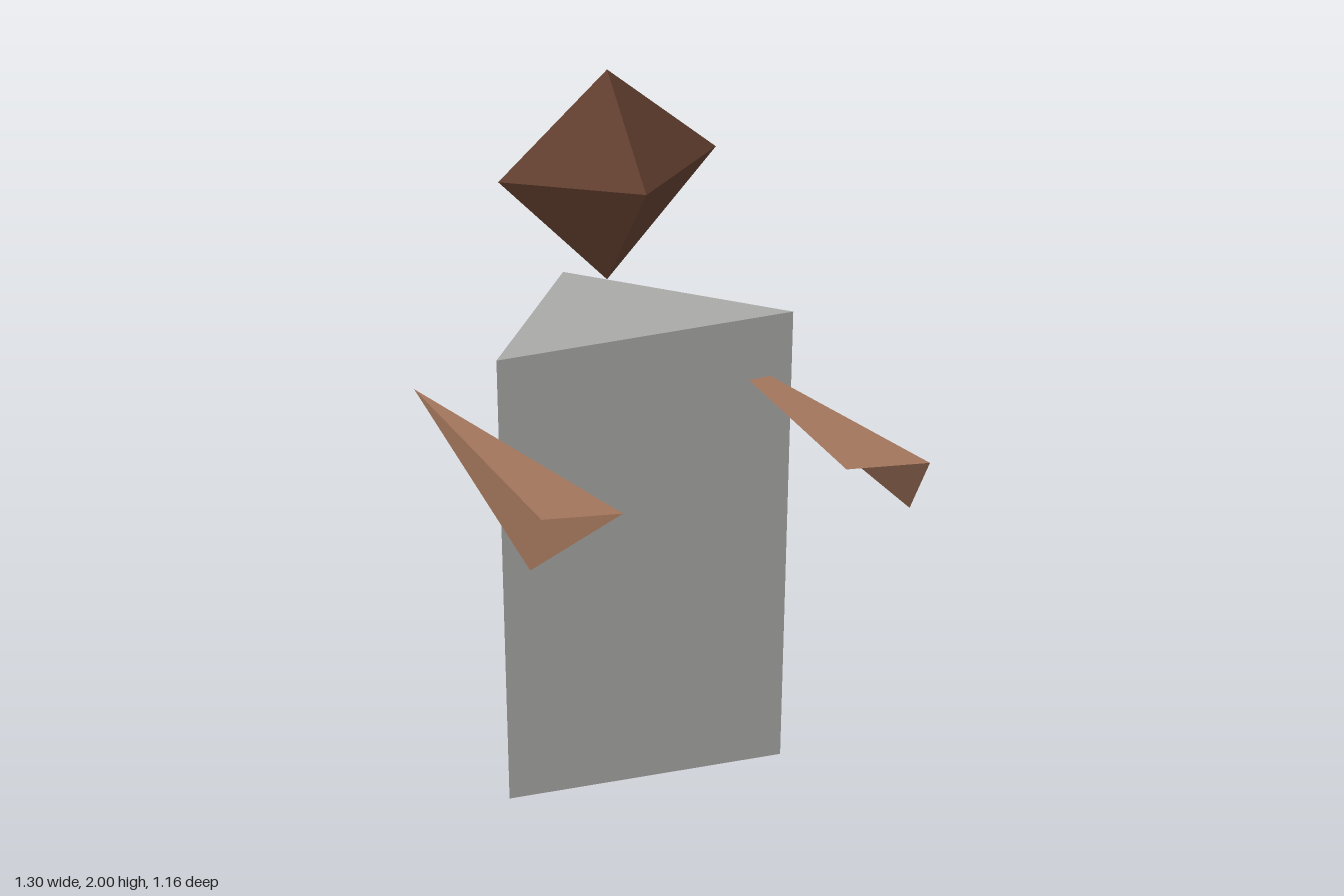
import * as THREE from 'three';

const stone = new THREE.MeshStandardMaterial({ name: 'stone grey', color: 0xa8a8a6, flatShading: true });
const darkBrown = new THREE.MeshStandardMaterial({ name: 'dark brown', color: 0x623f30, flatShading: true });
const tan = new THREE.MeshStandardMaterial({ name: 'tan brown', color: 0xa0735a, flatShading: true, side: THREE.DoubleSide });

// Flat-faced mesh from corner points and triangles
function faceted(name, points, faces, material) {
  const indexed = new THREE.BufferGeometry();
  indexed.setAttribute('position', new THREE.Float32BufferAttribute(points.flat(), 3));
  indexed.setIndex(faces.flat());
  const geometry = indexed.toNonIndexed();
  geometry.computeVertexNormals();
  const mesh = new THREE.Mesh(geometry, material);
  mesh.name = name;
  return mesh;
}

export function createModel() {
  const model = new THREE.Group();
  model.name = 'figure';
  const centreX = -0.07;

  // Body: triangular prism, flat front, slightly wider at the top
  const section = (y, halfWidth) => [
    [centreX - halfWidth, y, -0.04], [centreX + halfWidth, y, -0.04], [centreX, y, -0.58],
  ];
  model.add(faceted('body', [...section(1.3, 0.45), ...section(0, 0.41)], [
    [3, 4, 1], [3, 1, 0], // front
    [4, 5, 2], [4, 2, 1], // left side
    [5, 3, 2], [3, 0, 2], // right side
    [0, 1, 2], [3, 5, 4], // top and bottom
  ], stone));

  // Head: octahedron with a longer lower half
  const headGeometry = new THREE.OctahedronGeometry(1);
  const p = headGeometry.attributes.position;
  for (let i = 0; i < p.count; i++) {
    const y = p.getY(i);
    p.setXYZ(i, p.getX(i) * 0.33, y * (y < 0 ? 0.34 : 0.28), p.getZ(i) * 0.26);
  }
  headGeometry.computeVertexNormals();
  const head = new THREE.Mesh(headGeometry, darkBrown);
  head.name = 'head';
  head.position.set(centreX, 1.72, -0.29);
  model.add(head);

  // Arms: two folded triangles each, from shoulder to inner, outer and lower tips
  const arm = (name, shoulder, inner, outer, lower) =>
    faceted(name, [shoulder, inner, outer, lower], [[0, 1, 2], [0, 2, 3]], tan);
  model.add(
    arm('leftArm', [0.23, 1.15, -0.29], [0.28, 1.05, 0.53], [0.51, 1.05, 0.58], [0.65, 0.74, 0.14]),
    arm('rightArm', [-0.655, 1.15, -0.29], [-0.645, 1.05, 0.53], [-0.42, 1.05, 0.58], [-0.5, 0.74, 0.14]),
  );

  return model;
}
